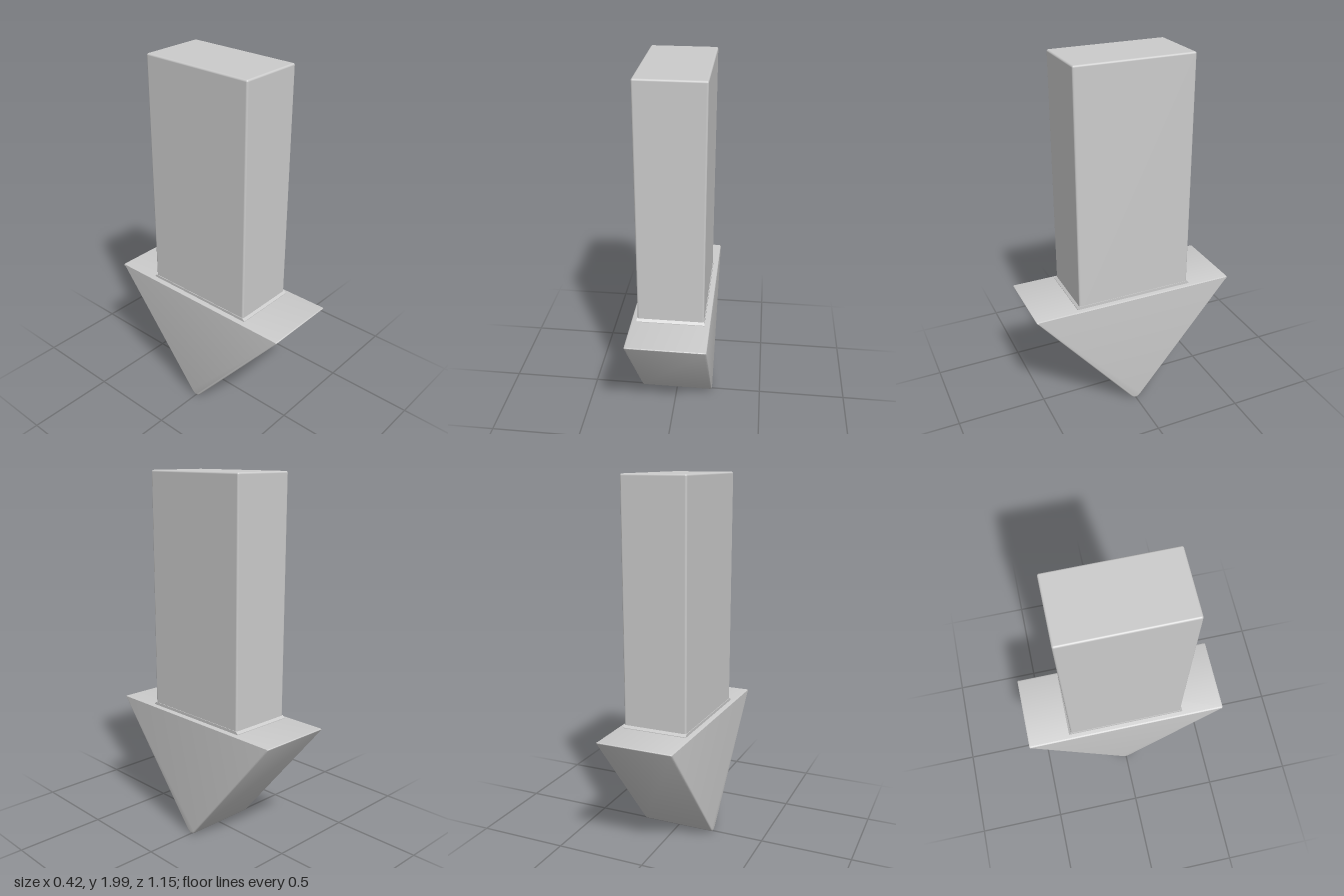
import * as THREE from 'three';
import { toCreasedNormals } from 'three/addons/utils/BufferGeometryUtils.js';
import { RoundedBoxGeometry } from 'three/addons/geometries/RoundedBoxGeometry.js';

const HEAD_TOP = 0.69;
const material = new THREE.MeshStandardMaterial({ color: 0xcccccc });

// Extrudes a z/y profile across x, centred, with an inset bevel on both sides
function acrossX(shape, width, bevel) {
  const geometry = new THREE.ExtrudeGeometry(shape, {
    depth: width - 2 * bevel,
    bevelEnabled: bevel > 0,
    bevelThickness: bevel,
    bevelSize: bevel,
    bevelOffset: -bevel,
    bevelSegments: 3,
    curveSegments: 6,
  });
  geometry.translate(0, 0, bevel - width / 2);
  geometry.rotateY(Math.PI / 2);
  return toCreasedNormals(geometry, 0.7);
}

// Profile with each corner softened by a small curve of the given size
function roundedProfile(corners) {
  const shape = new THREE.Shape();
  corners.forEach(([x, y, r], i) => {
    const p = new THREE.Vector2(x, y);
    const toward = (j) => {
      const [a, b] = corners[(j + corners.length) % corners.length];
      return new THREE.Vector2(a, b).sub(p).setLength(r).add(p);
    };
    const start = toward(i - 1), end = toward(i + 1);
    if (i === 0) shape.moveTo(start.x, start.y);
    else shape.lineTo(start.x, start.y);
    shape.quadraticCurveTo(x, y, end.x, end.y);
  });
  shape.closePath();
  return shape;
}

export function createModel() {
  const group = new THREE.Group();
  const add = (name, geometry) => {
    const mesh = new THREE.Mesh(geometry, material);
    mesh.name = name;
    group.add(mesh);
  };

  // Wedge head with a blunted lower edge
  const wedge = roundedProfile([
    [0, -0.014, 0.05],
    [0.58, HEAD_TOP, 0.012],
    [-0.58, HEAD_TOP, 0.012],
  ]);
  add('wedgeHead', acrossX(wedge, 0.424, 0.01));

  // Rectangular shaft, sunk slightly into the head
  const bottom = HEAD_TOP - 0.03;
  const shaft = new RoundedBoxGeometry(0.356, 2 - bottom, 0.65, 3, 0.01);
  shaft.translate(0, (2 + bottom) / 2, 0);
  add('shaft', shaft);

  // Small flare where the shaft meets the head
  const flare = new THREE.Shape([
    new THREE.Vector2(-0.337, HEAD_TOP - 0.01),
    new THREE.Vector2(0.337, HEAD_TOP - 0.01),
    new THREE.Vector2(0.337, HEAD_TOP + 0.003),
    new THREE.Vector2(0.324, HEAD_TOP + 0.016),
    new THREE.Vector2(-0.324, HEAD_TOP + 0.016),
    new THREE.Vector2(-0.337, HEAD_TOP + 0.003),
  ]);
  add('shaftFlare', acrossX(flare, 0.362, 0));

  return group;
}
